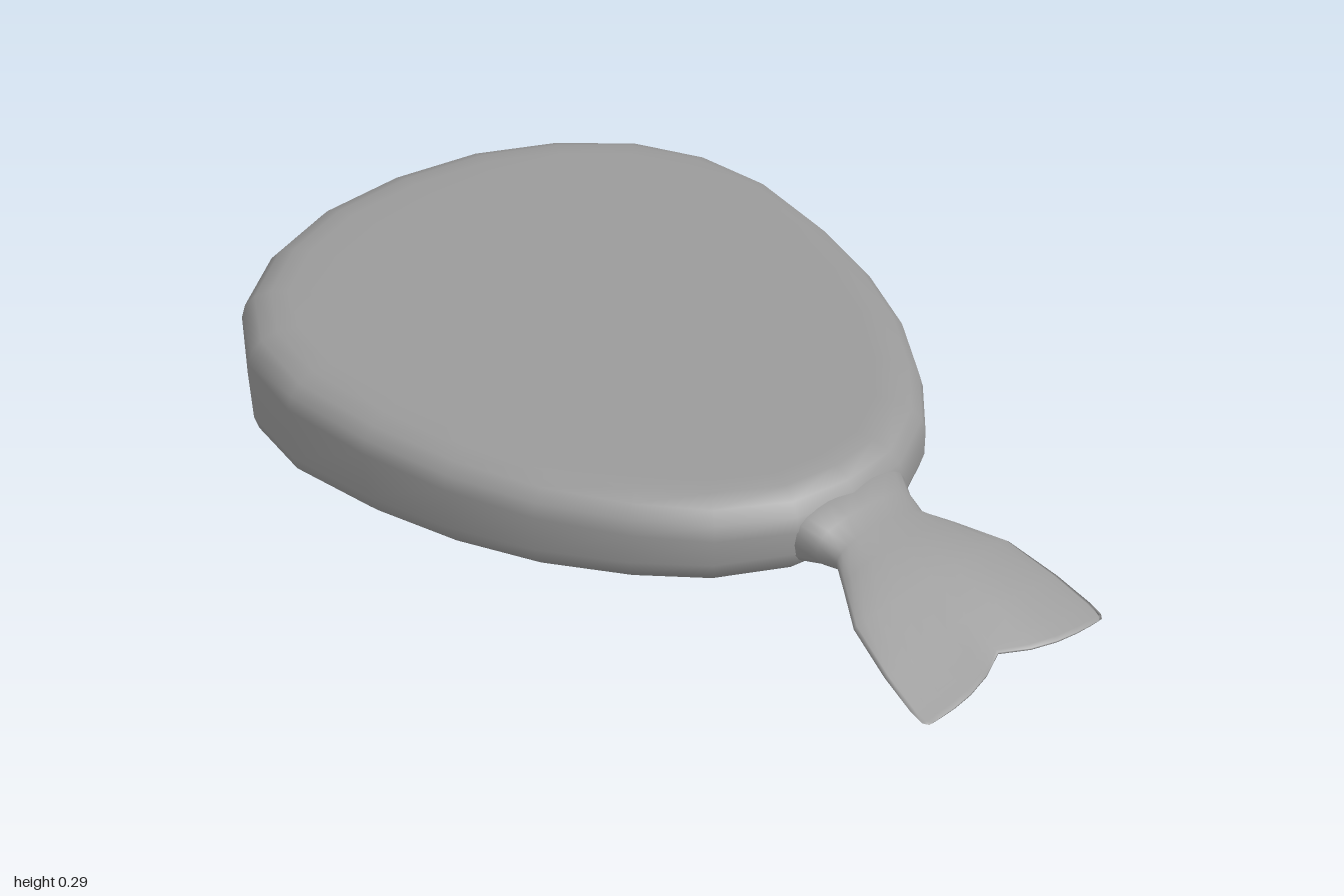
import * as THREE from 'three';

const material = new THREE.MeshStandardMaterial({ color: 0x999999 });

// Skin a stack of closed rings (arrays of Vector3); ends are closed by strips across mirrored points.
function loft(rings) {
  const n = rings[0].length, pos = [], index = [];
  for (const ring of rings) for (const p of ring) pos.push(p.x, p.y, p.z);
  for (let r = 0; r < rings.length - 1; r++) {
    for (let i = 0; i < n; i++) {
      const a = r * n + i, b = r * n + (i + 1) % n;
      index.push(a, a + n, b, b, a + n, b + n);
    }
  }
  const last = (rings.length - 1) * n;
  for (let i = 0; i < n / 2; i++) {
    const a = i, b = i + 1, c = n - i - 1, d = (n - i) % n;
    for (const [p, q, s] of [[a, b, c], [a, c, d]]) {
      if (p === q || q === s || p === s) continue;
      index.push(p, q, s, last + p, last + s, last + q);
    }
  }
  const g = new THREE.BufferGeometry();
  g.setAttribute('position', new THREE.Float32BufferAttribute(pos, 3));
  g.setIndex(index);
  g.computeVertexNormals();
  return g;
}

// Egg-shaped slab: one outline, inset along a rounded rim, between two sloping planes.
function bodyGeometry() {
  const half = [[0, -1], [0.22, -0.975], [0.41, -0.895], [0.565, -0.77], [0.655, -0.61], [0.685, -0.42],
    [0.655, -0.2], [0.6, 0], [0.52, 0.18], [0.41, 0.34], [0.295, 0.46], [0.145, 0.542], [0, 0.56]];
  const outline = [...half, ...half.slice(1, -1).reverse().map(([x, z]) => [-x, z])];
  const n = outline.length;
  const normals = outline.map((_, i) => {
    const [ax, az] = outline[(i + n - 1) % n], [bx, bz] = outline[(i + 1) % n];
    return new THREE.Vector2(bz - az, ax - bx).normalize();
  });
  const top = (z) => 0.25 - 0.05 * z;
  const bottom = (z) => 0.021 + 0.022 * z;
  const ring = (inset, drop, upper) => outline.map(([x, z], i) => {
    const px = x - normals[i].x * inset, pz = z - normals[i].y * inset;
    return new THREE.Vector3(px, upper ? top(pz) - drop : bottom(pz) + drop, pz);
  });
  const rim = [[0.3, 0], [0.11, 0], [0.068, 0.003], [0.032, 0.017], [0.009, 0.04], [0, 0.07]];
  return loft([
    ...rim.map(([inset, drop]) => ring(inset, drop, false)),
    ...rim.slice().reverse().map(([inset, drop]) => ring(inset, drop, true)),
  ]);
}

// Fish-like tail: a thick root flattening into a notched fan.
function tailGeometry() {
  // z, half width, bottom y, top y, notch depth, roundness of section
  const sections = [
    [0.46, 0.155, 0.06, 0.195, 0, 0.6],
    [0.54, 0.152, 0.06, 0.19, 0, 0.65],
    [0.58, 0.132, 0.066, 0.17, 0, 0.75],
    [0.625, 0.122, 0.073, 0.152, 0, 0.85],
    [0.68, 0.158, 0.075, 0.137, 0, 1],
    [0.77, 0.216, 0.064, 0.106, 0.005, 1],
    [0.88, 0.242, 0.037, 0.06, 0.02, 1],
    [0.96, 0.252, 0.015, 0.028, 0.04, 1],
    [0.99, 0.251, 0.008, 0.016, 0.048, 1],
    [1.0, 0.243, 0.008, 0.012, 0.052, 1],
  ];
  const sides = 24;
  const bend = (v, e) => Math.sign(v) * Math.pow(Math.abs(v), e);
  return loft(sections.map(([z, w, lo, hi, notch, e]) =>
    Array.from({ length: sides }, (_, i) => {
      const a = -i / sides * Math.PI * 2;
      const u = bend(Math.cos(a), e), v = bend(Math.sin(a), e);
      const dip = notch * Math.pow(1 - Math.abs(u), 2.6);
      return new THREE.Vector3(u * w, (lo + hi) / 2 + v * (hi - lo) / 2 + dip * 0.2, z - dip);
    })));
}

export function createModel() {
  const model = new THREE.Group();
  const parts = { body: bodyGeometry(), tail: tailGeometry() };
  for (const [name, geometry] of Object.entries(parts)) {
    const mesh = new THREE.Mesh(geometry, material);
    mesh.name = name;
    model.add(mesh);
  }
  return model;
}
